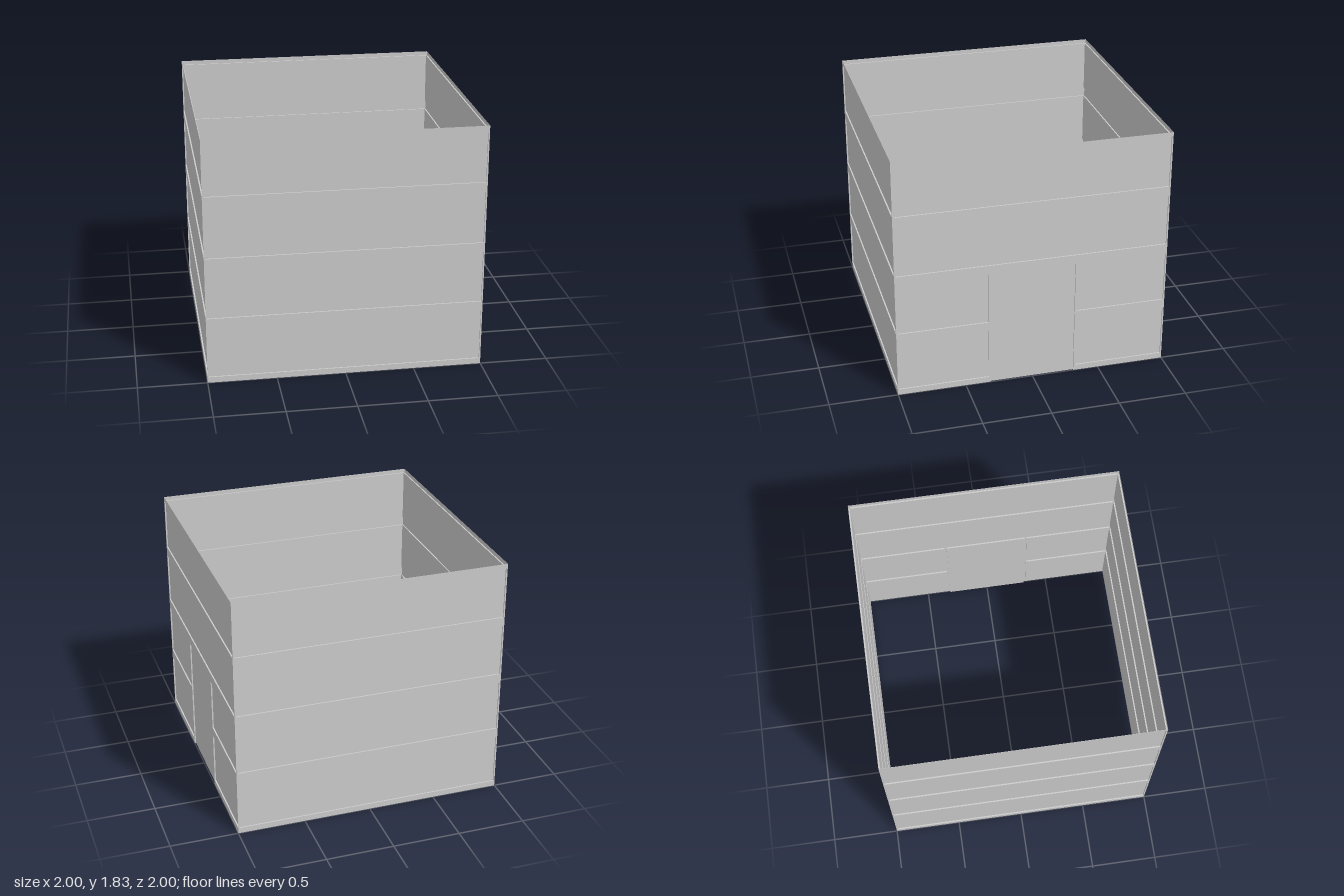
import * as THREE from 'three';

const H = 1.83, HALF = 1, DEPTH = 0.01, EDGE = 0.99;
const DOOR = 0.313, JAMB = 0.327, DOOR_TOP = 0.885;
const rows = [0, 1, 2, 3].map((i) => [0.043 + i * 0.457, 0.428 + i * 0.457]);

const material = new THREE.MeshStandardMaterial({ color: 0xcccccc, side: THREE.DoubleSide });

function addPlane(parent, name, w, h, x, y, z, rx = 0, ry = 0) {
  const mesh = new THREE.Mesh(new THREE.PlaneGeometry(w, h), material);
  mesh.name = name;
  mesh.position.set(x, y, z);
  mesh.rotation.set(rx, ry, 0);
  parent.add(mesh);
}

// Shallow tray set into the wall: back sheet plus thin ledges round its rim
function addRecess(parent, name, [x0, x1, y0, y1], openBottom = false) {
  const g = new THREE.Group();
  g.name = name;
  const w = x1 - x0, h = y1 - y0, cx = (x0 + x1) / 2, cy = (y0 + y1) / 2;
  const mid = HALF - DEPTH / 2;
  addPlane(g, 'panelSheet', w, h, cx, cy, HALF - DEPTH);
  addPlane(g, 'topLedge', w, DEPTH, cx, y1, mid, Math.PI / 2);
  if (!openBottom) addPlane(g, 'bottomLedge', w, DEPTH, cx, y0, mid, -Math.PI / 2);
  addPlane(g, 'leftLedge', DEPTH, h, x0, cy, mid, 0, Math.PI / 2);
  addPlane(g, 'rightLedge', DEPTH, h, x1, cy, mid, 0, -Math.PI / 2);
  parent.add(g);
}

function rectPoints([x0, x1, y0, y1]) {
  return [[x0, y0], [x0, y1], [x1, y1], [x1, y0]].map(([x, y]) => new THREE.Vector2(x, y));
}

// One wall facing +z: a sheet with openings, each filled by a recess
function makeWall(name, hasDoor) {
  const wall = new THREE.Group();
  wall.name = name;
  const outline = [[-HALF, 0]];
  if (hasDoor) outline.push([-DOOR, 0], [-DOOR, DOOR_TOP], [DOOR, DOOR_TOP], [DOOR, 0]);
  outline.push([HALF, 0], [HALF, H], [-HALF, H]);
  const shape = new THREE.Shape(outline.map(([x, y]) => new THREE.Vector2(x, y)));

  const panels = [];
  rows.forEach(([y0, y1], i) => {
    if (hasDoor && i < 2) panels.push([-EDGE, -JAMB, y0, y1], [JAMB, EDGE, y0, y1]);
    else panels.push([-EDGE, EDGE, y0, y1]);
  });
  panels.forEach((p) => {
    shape.holes.push(new THREE.Path(rectPoints(p)));
    addRecess(wall, 'recessedPanel', p);
  });
  if (hasDoor) addRecess(wall, 'door', [-DOOR, DOOR, 0, DOOR_TOP], true);

  const frame = new THREE.Mesh(new THREE.ShapeGeometry(shape), material);
  frame.name = 'wallFrame';
  frame.position.z = HALF;
  wall.add(frame);
  return wall;
}

export function createModel() {
  const model = new THREE.Group();
  model.name = 'panelledEnclosure';
  // Four walls turned about the centre; the door is in the +x wall
  ['frontWall', 'doorWall', 'backWall', 'sideWall'].forEach((name, i) => {
    const wall = makeWall(name, i === 1);
    wall.rotation.y = i * Math.PI / 2;
    model.add(wall);
  });
  return model;
}
